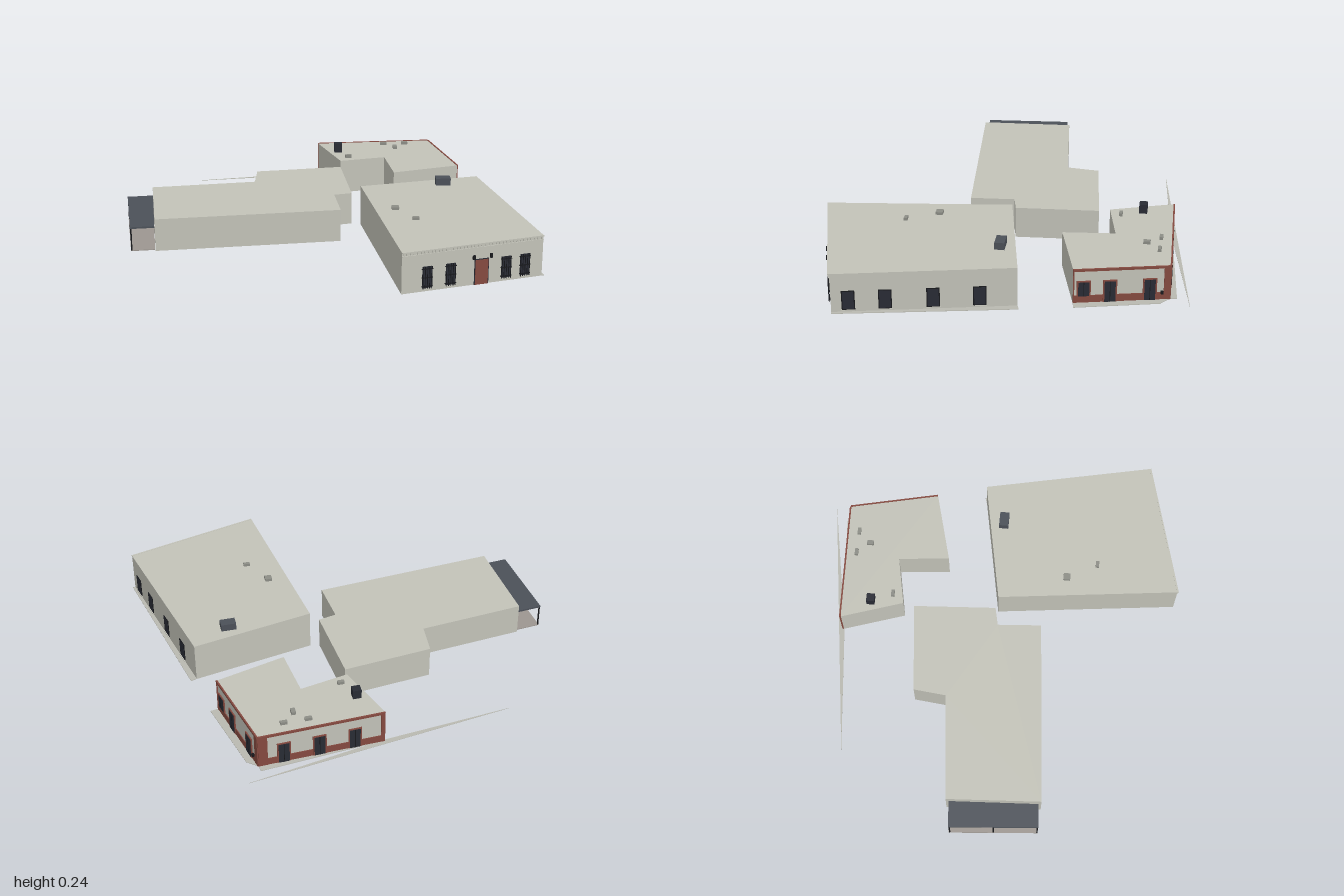
import * as THREE from 'three';

const mat = (name, color, side = THREE.FrontSide) => {
  const m = new THREE.MeshStandardMaterial({ color, side });
  m.name = name;
  return m;
};

export function createModel() {
  const model = new THREE.Group();
  model.name = 'buildingCluster';

  const plaster = mat('plaster', 0xc2c2b8);
  const paving = mat('paving', 0xb9b9b0);
  const brick = mat('brick', 0x84493f);
  const glass = mat('darkGlass', 0x282b34);
  const iron = mat('blackIron', 0x17181c);
  const slate = mat('slateMetal', 0x4b5058);
  const vent = mat('ventGrey', 0x8c8d86);
  const deck = mat('porchDeck', 0x9c9690);

  // Upright prism over a plan outline of [x, z] points
  function prism(name, outline, y0, y1, material, parent = model) {
    const shape = new THREE.Shape(outline.map(([x, z]) => new THREE.Vector2(x, -z)));
    const geo = new THREE.ExtrudeGeometry(shape, { depth: y1 - y0, bevelEnabled: false });
    geo.rotateX(-Math.PI / 2);
    geo.translate(0, y0, 0);
    const mesh = new THREE.Mesh(geo, material);
    mesh.name = name;
    parent.add(mesh);
    return mesh;
  }

  // Box given by its centre in x and z and its bottom in y
  function box(parent, name, material, w, h, d, x, y, z) {
    const mesh = new THREE.Mesh(new THREE.BoxGeometry(w, h, d), material);
    mesh.name = name;
    mesh.position.set(x, y + h / 2, z);
    parent.add(mesh);
    return mesh;
  }

  // Group lying on a wall: local x runs from p to q, local z points outward
  function wallFace(name, p, q) {
    const g = new THREE.Group();
    g.name = name;
    g.position.set(p[0], 0, p[1]);
    g.rotation.y = Math.atan2(p[1] - q[1], q[0] - p[0]);
    g.userData.length = Math.hypot(q[0] - p[0], q[1] - p[1]);
    model.add(g);
    return g;
  }

  // ---- Large front building ----
  const A = [[0.19, 0], [0.305, 0.905], [0.987, 0.722], [0.8, -0.12]];
  prism('frontBuilding', A, 0, 0.205, plaster);
  prism('frontBuildingSidewalk', [[0.987, 0.722], [1.0, 0.72], [0.83, -0.13], [0.8, -0.12]], 0, 0.003, paving);

  const front = wallFace('frontFacade', A[1], A[2]);
  const fl = front.userData.length;
  box(front, 'cornice', plaster, fl, 0.006, 0.008, fl / 2, 0.2, 0.003);
  box(front, 'corniceLedge', plaster, fl, 0.003, 0.006, fl / 2, 0.184, 0.002);
  const dentils = 40;
  for (let i = 0; i < dentils; i++) {
    box(front, 'dentil', plaster, 0.009, 0.012, 0.006, (i + 0.5) * fl / dentils, 0.188, 0.002);
  }

  // Barred windows
  for (const f of [0.176, 0.34, 0.735, 0.87]) {
    const x = f * fl;
    box(front, 'barredWindowGlass', glass, 0.046, 0.106, 0.004, x, 0.017, 0.001);
    for (let i = 0; i < 5; i++) {
      box(front, 'windowBar', iron, 0.003, 0.11, 0.003, x - 0.022 + i * 0.011, 0.015, 0.009);
    }
    for (const y of [0.025, 0.068, 0.111]) {
      box(front, 'windowCrossBar', iron, 0.054, 0.003, 0.009, x, y, 0.006);
    }
  }

  // Entrance door with a lamp on each side
  const doorX = 0.56 * fl;
  box(front, 'entranceFrame', glass, 0.072, 0.127, 0.004, doorX, 0, 0.001);
  box(front, 'entranceDoor', brick, 0.064, 0.123, 0.006, doorX, 0, 0.002);
  for (const s of [-1, 1]) {
    box(front, 'lampArm', iron, 0.004, 0.004, 0.012, doorX + s * 0.043, 0.143, 0.006);
    box(front, 'lamp', iron, 0.012, 0.02, 0.01, doorX + s * 0.043, 0.131, 0.012);
  }

  // Side windows
  const side = wallFace('sideFacade', A[2], A[3]);
  for (const f of [0.093, 0.29, 0.547, 0.797]) {
    const x = f * side.userData.length;
    box(side, 'sideWindowFrame', iron, 0.062, 0.1, 0.004, x, 0.014, 0.001);
    box(side, 'sideWindowGlass', glass, 0.052, 0.092, 0.006, x, 0.018, 0.001);
    box(side, 'sideWindowSill', plaster, 0.066, 0.004, 0.008, x, 0.01, 0.003);
  }

  // ---- Small L-shaped building with brick trim ----
  const B = [[0.015, -0.79], [0.12, -0.48], [0.36, -0.53], [0.387, -0.275], [0.735, -0.37], [0.63, -0.815]];
  prism('brickTrimBuilding', B, 0, 0.18, plaster);
  prism('brickTrimSidewalk', [[0.735, -0.37], [0.777, -0.378], [0.68, -0.775], [0.63, -0.815]], 0, 0.003, paving);
  prism('backSidewalk', [[0.015, -0.79], [0.63, -0.815], [0.625, -0.85]], 0, 0.003, paving);
  prism('pavingSliver', [[-0.635, -0.715], [0.02, -0.785], [0.695, -0.915]], 0, 0.002, paving);

  function brickFacade(name, p, q, endWidths, openings) {
    const g = wallFace(name, p, q), L = g.userData.length;
    box(g, 'brickBase', brick, L, 0.04, 0.006, L / 2, 0, 0.001);
    box(g, 'brickCoping', brick, L, 0.012, 0.008, L / 2, 0.17, 0.002);
    box(g, 'brickPier', brick, endWidths[0], 0.18, 0.008, endWidths[0] / 2, 0, 0.001);
    box(g, 'brickPier', brick, endWidths[1], 0.18, 0.008, L - endWidths[1] / 2, 0, 0.001);
    for (const [f, y0] of openings) {
      const x = f * L, h = 0.118 - y0;
      box(g, 'brickSurround', brick, 0.066, h, 0.008, x, y0, 0.002);
      box(g, 'openingGlass', glass, 0.052, h - 0.008, 0.01, x, y0 + 0.002, 0.002);
      box(g, 'openingMullion', iron, 0.003, h - 0.008, 0.012, x, y0 + 0.002, 0.002);
    }
    return g;
  }
  const brickSide = brickFacade('brickSideFacade', B[4], B[5], [0.006, 0.03], [[0.11, 0.036], [0.38, 0], [0.79, 0]]);
  brickFacade('brickBackFacade', B[5], B[0], [0.045, 0.02], [[0.2, 0], [0.48, 0], [0.76, 0]]);
  box(brickSide, 'wallMeter', iron, 0.012, 0.014, 0.012, 0.418, 0.036, 0.009);

  // ---- Long rear building with porch ----
  const C = [[-0.872, -0.155], [-0.345, -0.212], [-0.33, -0.375], [0.115, -0.425],
    [0.145, -0.01], [0.055, 0.01], [0.073, 0.23], [-0.84, 0.312]];
  prism('longBuilding', C, 0, 0.165, plaster);
  const porch = new THREE.Group();
  porch.name = 'porch';
  model.add(porch);
  const P = [[-1, -0.13], [-0.871, -0.142], [-0.843, 0.298], [-0.96, 0.308]];
  prism('porchRoof', P, 0.116, 0.125, slate, porch);
  prism('porchFloor', P, 0, 0.004, deck, porch);
  for (const t of [0.01, 0.5, 0.99]) {
    box(porch, 'porchPost', iron, 0.006, 0.116, 0.006, -0.996 + 0.04 * t, 0, -0.13 + 0.438 * t);
  }

  // ---- Roof equipment: x, z, width, depth, base, height ----
  const roofUnits = [
    ['airUnit', slate, 0.61, -0.01, 0.075, 0.048, 0.205, 0.037],
    ['chimneyUnit', glass, 0.117, -0.645, 0.042, 0.04, 0.18, 0.048],
    ['roofVent', vent, 0.332, 0.338, 0.035, 0.035, 0.205, 0.014],
    ['roofVent', vent, 0.416, 0.488, 0.032, 0.017, 0.205, 0.014],
    ['roofVent', vent, 0.375, -0.752, 0.034, 0.017, 0.18, 0.015],
    ['roofVent', vent, 0.492, -0.752, 0.034, 0.017, 0.18, 0.015],
    ['roofVent', vent, 0.433, -0.687, 0.022, 0.034, 0.18, 0.015],
    ['roofVent', vent, 0.166, -0.538, 0.034, 0.017, 0.18, 0.015],
  ];
  for (const [name, m, x, z, w, d, y, h] of roofUnits) box(model, name, m, w, h, d, x, y, z);

  return model;
}
